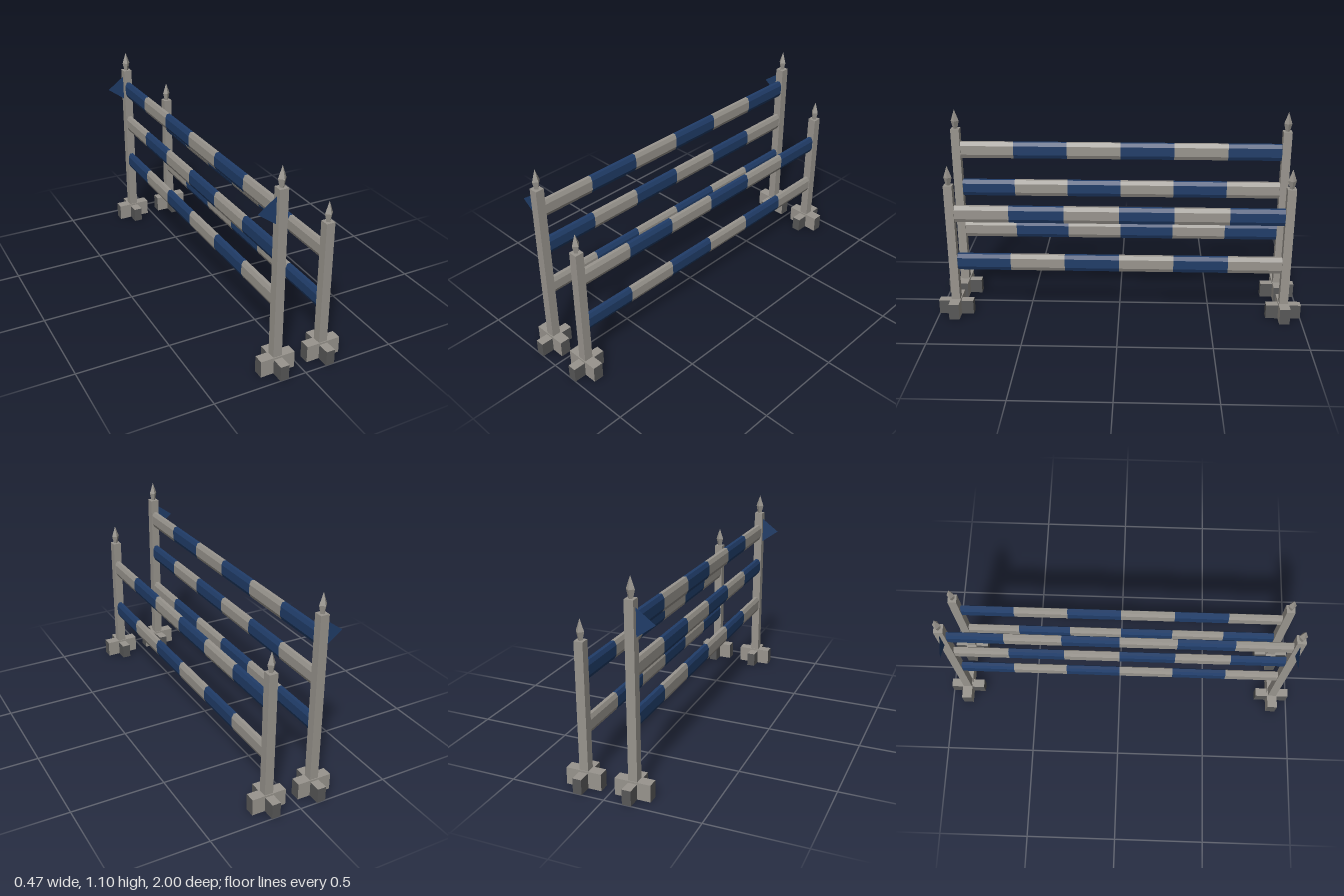
import * as THREE from 'three';

const stone = new THREE.MeshStandardMaterial({ color: 0x99958e });
const darkGrey = new THREE.MeshStandardMaterial({ color: 0x585858 });
const blue = new THREE.MeshStandardMaterial({ color: 0x203d69 });
const flagBlue = new THREE.MeshStandardMaterial({ color: 0x203d69, side: THREE.DoubleSide });

const END_Z = 0.905;   // post position along the bars
const BAR_HALF = 0.885;
const POST = 0.047;

function add(parent, name, geometry, material, x = 0, y = 0, z = 0) {
  const mesh = new THREE.Mesh(geometry, material);
  mesh.name = name;
  mesh.position.set(x, y, z);
  parent.add(mesh);
  return mesh;
}

// Four-sided spear point with flat facets
function finialGeometry() {
  const profile = [[0.012, 0], [0.022, 0.043], [0, 0.107]].map(([r, y]) => new THREE.Vector2(r, y));
  const geometry = new THREE.LatheGeometry(profile, 4).toNonIndexed();
  geometry.computeVertexNormals();
  return geometry;
}

// Narrow eight-sided bar section, extruded along z
function barGeometry(length) {
  const w = 0.019, h = 0.046, cw = 0.009, ch = 0.025;
  const shape = new THREE.Shape([
    [w, -ch], [w, ch], [cw, h], [-cw, h], [-w, ch], [-w, -ch], [-cw, -h], [cw, -h],
  ].map(([x, y]) => new THREE.Vector2(x, y)));
  return new THREE.ExtrudeGeometry(shape, { depth: length, bevelEnabled: false });
}

// Triangular pennant pointing to -x
function flagGeometry() {
  return new THREE.ShapeGeometry(new THREE.Shape([
    new THREE.Vector2(0, 0.07), new THREE.Vector2(-0.096, 0), new THREE.Vector2(0, -0.07),
  ]));
}

// Post with crossed feet and a finial
function makePost(x, z, height) {
  const post = new THREE.Group();
  post.name = 'post';
  post.position.set(x, 0, z);
  add(post, 'upright', new THREE.BoxGeometry(POST, height - 0.01, POST), stone, 0, (height + 0.01) / 2, 0);
  // Face order: +x, -x, +y, -y, +z, -z
  add(post, 'crossFoot', new THREE.BoxGeometry(0.188, 0.09, 0.056),
    [darkGrey, darkGrey, stone, darkGrey, stone, stone], 0, 0.045, 0);
  add(post, 'longFoot', new THREE.BoxGeometry(POST, 0.08, 0.19),
    [darkGrey, darkGrey, stone, darkGrey, darkGrey, darkGrey], 0, 0.04, 0);
  add(post, 'finial', finialGeometry(), stone, 0, height, 0);
  return post;
}

// Bar in six alternating colour bands, starting at +z
function makeBar(x, y, blueFirst) {
  const bar = new THREE.Group();
  bar.name = 'stripedBar';
  bar.position.set(x, y, 0);
  const length = (2 * BAR_HALF) / 6;
  const geometry = barGeometry(length);
  for (let i = 0; i < 6; i++) {
    const isBlue = (i % 2 === 0) === blueFirst;
    add(bar, isBlue ? 'blueBand' : 'greyBand', geometry, isBlue ? blue : stone,
      0, 0, BAR_HALF - (i + 1) * length);
  }
  return bar;
}

export function createModel() {
  const model = new THREE.Group();
  model.name = 'jumpFence';

  const rows = [
    { x: -0.12, height: 0.99, flag: true, bars: [[0.87, false], [0.65, true], [0.4, false]] },
    { x: 0.141, height: 0.755, flag: false, bars: [[0.593, false], [0.313, true]] },
  ];
  for (const row of rows) {
    for (const side of [1, -1]) {
      const post = makePost(row.x, side * END_Z, row.height);
      if (row.flag) add(post, 'flag', flagGeometry(), flagBlue, -POST / 2, 0.88, 0);
      model.add(post);
    }
    for (const [y, blueFirst] of row.bars) model.add(makeBar(row.x, y, blueFirst));
  }
  return model;
}
